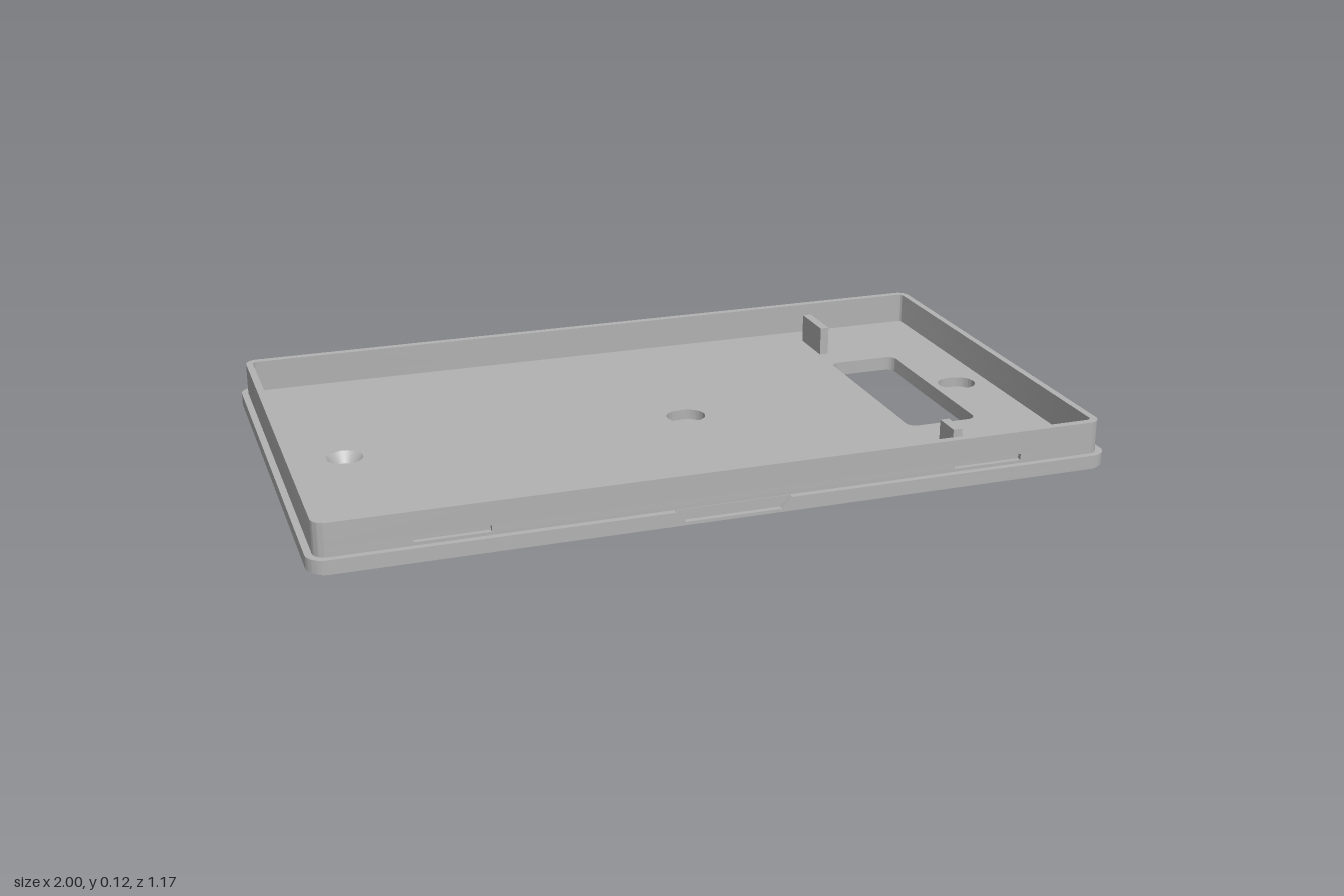
import * as THREE from 'three';
import { toCreasedNormals } from 'three/addons/utils/BufferGeometryUtils.js';

const W = 1, D = 0.585;                 // lip half sizes
const WALL_W = 0.983, WALL_D = 0.569;   // wall half sizes
const FLOOR = 0.037, TOP = 0.12;

// Rounded rectangle; cuts are [x from, x to] notches in the front or back edge.
function outline(path, w, h, r, frontCuts = [], backCuts = [], depth = 0.012, cx = 0) {
  path.moveTo(cx - w + r, -h);
  const notch = (cuts, y, inner) => cuts.forEach(([a, b]) => {
    path.lineTo(a, y).lineTo(a, inner).lineTo(b, inner).lineTo(b, y);
  });
  notch(frontCuts, -h, -h + depth);
  path.lineTo(cx + w - r, -h);
  path.absarc(cx + w - r, -h + r, r, -Math.PI / 2, 0, false);
  path.absarc(cx + w - r, h - r, r, 0, Math.PI / 2, false);
  notch(backCuts, h, h - depth);
  path.absarc(cx - w + r, h - r, r, Math.PI / 2, Math.PI, false);
  path.absarc(cx - w + r, -h + r, r, Math.PI, Math.PI * 1.5, false);
  return path;
}

const slot = (x, halfLength, r) => outline(new THREE.Path(), halfLength, r, r * 0.999, [], [], 0, x);
const circle = (x, y, r) => new THREE.Path().absarc(x, y, r, 0, Math.PI * 2, false);
const windowHole = () => outline(new THREE.Path(), 0.096, 0.258, 0.025, [], [], 0, 0.706);

export function createModel() {
  const model = new THREE.Group();
  const grey = new THREE.MeshStandardMaterial({ color: 0xb2b2b2 });
  grey.name = 'grey plastic';

  const add = (name, geometry) => {
    const mesh = new THREE.Mesh(geometry, grey);
    mesh.name = name;
    model.add(mesh);
    return mesh;
  };

  // Flat layer between two heights
  const layer = (name, shape, y0, y1, holes = []) => {
    shape.holes.push(...holes);
    const geo = new THREE.ExtrudeGeometry(shape, { depth: y1 - y0, bevelEnabled: false, curveSegments: 10 });
    geo.rotateX(-Math.PI / 2).translate(0, y0, 0);
    return add(name, toCreasedNormals(geo, 0.5));
  };

  const throughHoles = () => [windowHole(), circle(-0.815, 0, 0.024),
    slot(0.085, 0.031, 0.018), slot(0.875, 0.031, 0.018)];

  // Underside with shallow round foot recesses
  const feet = [[-0.82, 0.13], [-0.82, -0.13]];
  for (const x of [-0.9, -0.21, 0.9]) for (const z of [-0.48, 0.48]) feet.push([x, z]);
  const underside = layer('underside', outline(new THREE.Shape(), W, D, 0.045), 0, 0.005,
    [...throughHoles(), ...feet.map(([x, z]) => circle(x, z, 0.06))]);
  // Slight chamfer on the bottom edge
  const p = underside.geometry.attributes.position;
  for (let i = 0; i < p.count; i++) {
    if (p.getY(i) < 0.001) p.setXYZ(i, p.getX(i) * 0.996, 0, p.getZ(i) * 0.994);
  }

  layer('basePlate', outline(new THREE.Shape(), W, D, 0.045), 0.005, 0.01, throughHoles());

  // Floor and lip, with countersinks and the front pry notch
  layer('floor', outline(new THREE.Shape(), W, D, 0.045, [[-0.145, 0.145]], [], 0.014), 0.01, FLOOR,
    [windowHole(), circle(-0.815, 0, 0.046), slot(0.085, 0.051, 0.043), slot(0.875, 0.051, 0.043)]);

  // Sloped ends of the pry notch
  for (const side of [-1, 1]) {
    const wedge = new THREE.Shape([[0.12, 0.01], [0.145, 0.01], [0.145, FLOOR]]
      .map(([x, y]) => new THREE.Vector2(side * x, y)));
    add('notchSlope', new THREE.ExtrudeGeometry(wedge, { depth: 0.014, bevelEnabled: false })
      .translate(0, 0, D - 0.014));
  }

  // Conical countersink of the round screw hole
  const cone = new THREE.LatheGeometry([new THREE.Vector2(0.046, FLOOR), new THREE.Vector2(0.024, 0.01)], 32);
  cone.translate(-0.815, 0, 0);
  add('countersink', cone);

  // Walls, with snap grooves in the middle layer
  const wall = (name, y0, y1, front, back) => layer(name,
    outline(new THREE.Shape(), WALL_W, WALL_D, 0.032, front, back), y0, y1,
    [outline(new THREE.Path(), WALL_W - 0.018, WALL_D - 0.02, 0.014)]);
  wall('lowerWall', FLOOR, 0.045);
  wall('groovedWall', 0.045, 0.061, [[-0.76, -0.58], [0.58, 0.76]], [[0.95, -0.95]]);
  wall('upperWall', 0.061, TOP);

  // Upright locating tabs
  for (const [z0, z1] of [[-0.47, -0.34], [0.42, 0.493]]) {
    const h = 0.115 - FLOOR;
    add('locatingTab', new THREE.BoxGeometry(0.024, h, z1 - z0))
      .position.set(0.624, FLOOR + h / 2, (z0 + z1) / 2);
  }

  // Front-sided cone must face up and inwards
  const idx = cone.index.array, pos = cone.attributes.position;
  const v = [0, 1, 2].map((k) => new THREE.Vector3().fromBufferAttribute(pos, idx[k]));
  const n = v[1].clone().sub(v[0]).cross(v[2].clone().sub(v[0]));
  if (n.y < 0) {
    for (let i = 0; i < idx.length; i += 3) [idx[i], idx[i + 1]] = [idx[i + 1], idx[i]];
    cone.computeVertexNormals();
  }
  return model;
}
